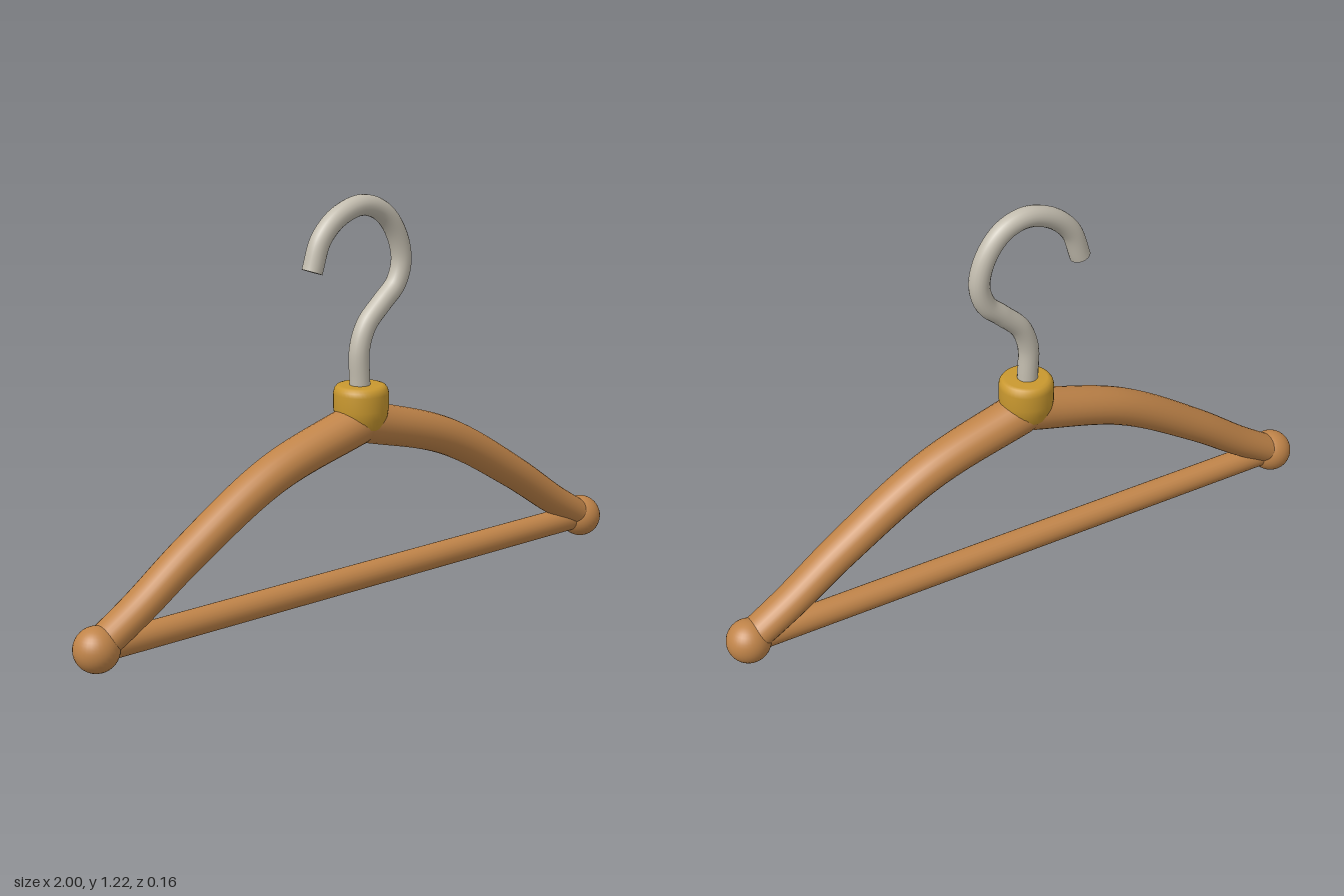
import * as THREE from 'three';

const wood = new THREE.MeshStandardMaterial({ color: 0xc08449 });
wood.name = 'warm wood';
const brass = new THREE.MeshStandardMaterial({ color: 0xc9982f });
brass.name = 'brass yellow';
const steel = new THREE.MeshStandardMaterial({ color: 0xc2bcae });
steel.name = 'pale steel';

const curveThrough = (pts) =>
  new THREE.CatmullRomCurve3(pts.map(([x, y]) => new THREE.Vector3(x, y, 0)), false, 'centripetal');

// Tapered oval arm swept along a curve in the XY plane, mitred at x = 0
function armGeometry(curve, steps = 40, sides = 24) {
  const pos = [], index = [];
  for (let i = 0; i <= steps; i++) {
    const t = i / steps;
    const p = curve.getPointAt(t), d = curve.getTangentAt(t);
    const nx = i === 0 ? 0 : -d.y, ny = i === 0 ? 1 : d.x;
    const a = THREE.MathUtils.lerp(0.063, 0.045, t);
    const b = THREE.MathUtils.lerp(0.067, 0.054, t);
    for (let j = 0; j < sides; j++) {
      const u = (j / sides) * Math.PI * 2;
      const r = Math.cos(u) * a;
      pos.push(p.x + nx * r, p.y + ny * r, Math.sin(u) * b);
      if (i < steps) {
        const k = i * sides + j, m = i * sides + ((j + 1) % sides);
        index.push(k, m, k + sides, m, m + sides, k + sides);
      }
    }
  }
  const g = new THREE.BufferGeometry();
  g.setAttribute('position', new THREE.Float32BufferAttribute(pos, 3));
  g.setIndex(index);
  g.computeVertexNormals();
  // Orient the faces outwards: the first ring vertex is on the top edge
  if (g.attributes.normal.getY(sides * 5) < 0) {
    g.setIndex(index.reverse());
    g.computeVertexNormals();
  }
  return g;
}

export function createModel() {
  const group = new THREE.Group();
  group.name = 'coatHanger';
  const add = (name, geometry, material, x = 0, y = 0) => {
    const mesh = new THREE.Mesh(geometry, material);
    mesh.name = name;
    mesh.position.set(x, y, 0);
    group.add(mesh);
    return mesh;
  };

  // Sloping shoulders; the second is the first turned half round
  const arm = armGeometry(curveThrough([[0, 0.553], [0.33, 0.45], [0.62, 0.28], [0.8, 0.155], [0.93, 0.075]]));
  add('leftArm', arm, wood);
  add('rightArm', arm, wood).rotation.y = Math.PI;

  // Round ends
  const ball = new THREE.SphereGeometry(0.066, 32, 20);
  add('leftEndKnob', ball, wood, 0.934, 0.07);
  add('rightEndKnob', ball, wood, -0.934, 0.07);

  // Trouser bar
  add('bar', new THREE.CylinderGeometry(0.039, 0.039, 1.84, 24), wood, 0, 0.07).rotation.z = Math.PI / 2;

  // Collar with softened rims
  const collar = [[0, 0.53], [0.06, 0.53], [0.068, 0.54], [0.078, 0.57], [0.082, 0.595], [0.082, 0.64],
    [0.079, 0.653], [0.072, 0.662], [0.062, 0.665], [0, 0.665]];
  add('collar', new THREE.LatheGeometry(collar.map(([x, y]) => new THREE.Vector2(x, y)), 40), brass);

  // Hook with a flat cut tip
  const path = curveThrough([[0, 0.6], [-0.005, 0.68], [-0.006, 0.77], [0.02, 0.84], [0.08, 0.9], [0.132, 0.95],
    [0.153, 1.02], [0.13, 1.105], [0.075, 1.17], [0, 1.194], [-0.085, 1.168], [-0.147, 1.11], [-0.18, 1.02]]);
  add('hook', new THREE.TubeGeometry(path, 90, 0.031, 18), steel);
  const tip = add('hookTip', new THREE.CircleGeometry(0.031, 18), steel);
  const end = path.getPointAt(1);
  tip.position.copy(end);
  tip.lookAt(end.clone().add(path.getTangentAt(1)));

  return group;
}
